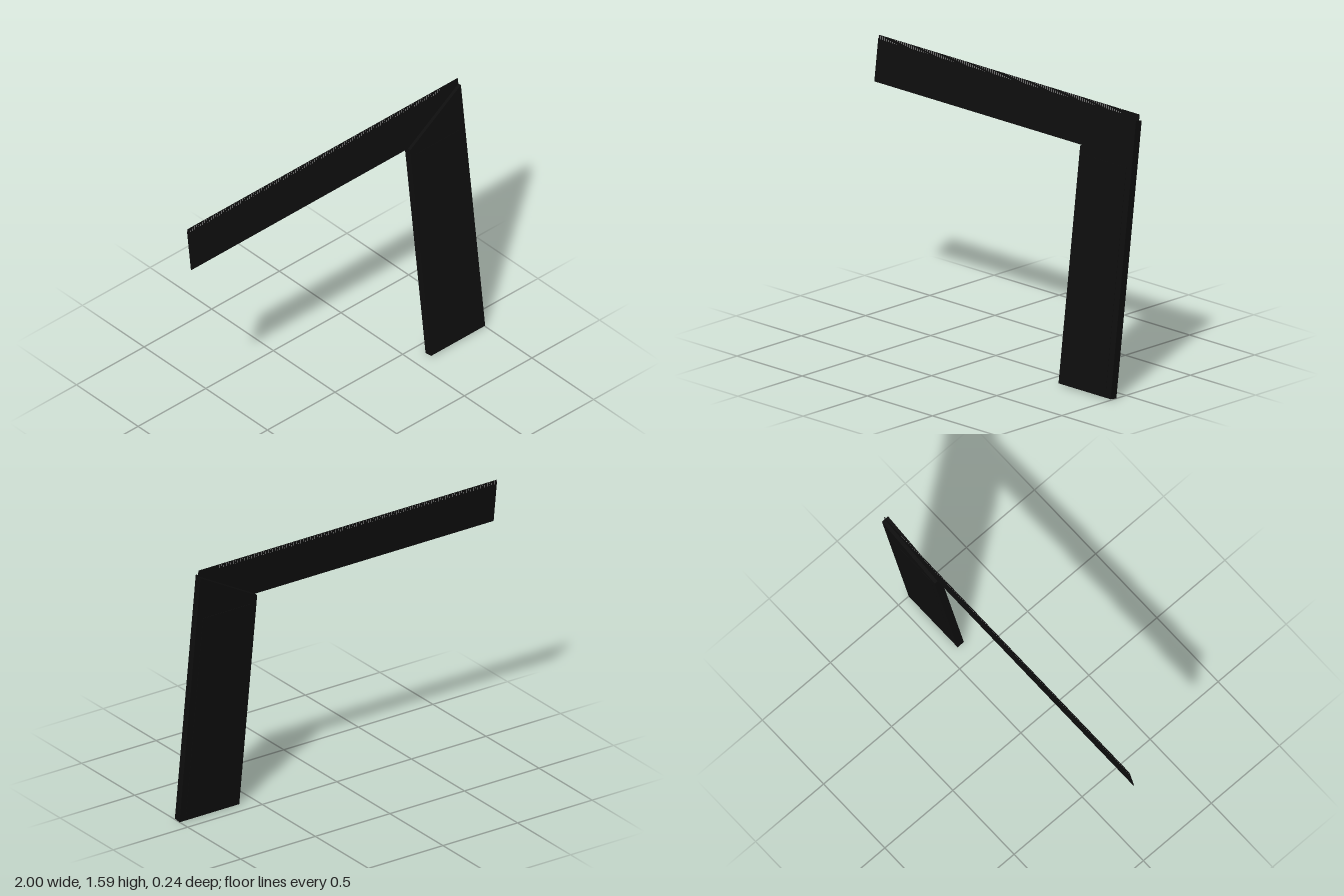
import * as THREE from 'three';

export function createModel() {
  const model = new THREE.Group();
  model.name = 'trySquare';

  const black = new THREE.MeshStandardMaterial({ color: 0x0e0e0e });
  black.name = 'black';
  const silver = new THREE.MeshStandardMaterial({ color: 0xc8c8c8 });
  silver.name = 'silver';

  // the whole tool leans backwards
  const tool = new THREE.Group();
  tool.name = 'leaningSquare';
  tool.position.set(0, 0.003, 0.0985);
  tool.rotation.x = -Math.atan(0.127);
  model.add(tool);

  const add = (name, geometry, material, x = 0, y = 0, z = 0) => {
    const mesh = new THREE.Mesh(geometry, material);
    mesh.name = name;
    mesh.position.set(x, y, z);
    tool.add(mesh);
    return mesh;
  };

  // handle with a slanted top end
  const outline = new THREE.Shape([
    [0.6, 0], [1, 0], [1, 1.565], [0.6, 1.338],
  ].map(([x, y]) => new THREE.Vector2(x, y)));
  const thickness = 0.045;
  add('handle', new THREE.ExtrudeGeometry(outline, { depth: thickness, bevelEnabled: false }),
    black, 0, 0, -thickness / 2);

  // slightly raised panels on both handle faces
  const panelHeight = 1.25;
  add('handlePanels', new THREE.BoxGeometry(0.32, panelHeight, thickness + 0.003),
    black, 0.8, 0.045 + panelHeight / 2, 0);

  // thin ruler blade
  const bladeBottom = 1.338, bladeTop = 1.6, bladeThickness = 0.004;
  add('blade', new THREE.BoxGeometry(2, bladeTop - bladeBottom, bladeThickness),
    black, 0, (bladeBottom + bladeTop) / 2, 0);

  // fine graduation marks on both blade faces
  const marks = 120, spacing = 2 / 128, markHeight = 0.022;
  const markGeometry = new THREE.BoxGeometry(0.002, markHeight, bladeThickness + 0.001);
  const graduations = new THREE.Group();
  graduations.name = 'graduations';
  for (let i = 0; i < marks; i++) {
    const mark = new THREE.Mesh(markGeometry, silver);
    mark.name = 'graduationMark';
    mark.position.set(-0.997 + i * spacing, bladeTop - markHeight / 2 - 0.0005, 0);
    graduations.add(mark);
  }
  tool.add(graduations);

  return model;
}
